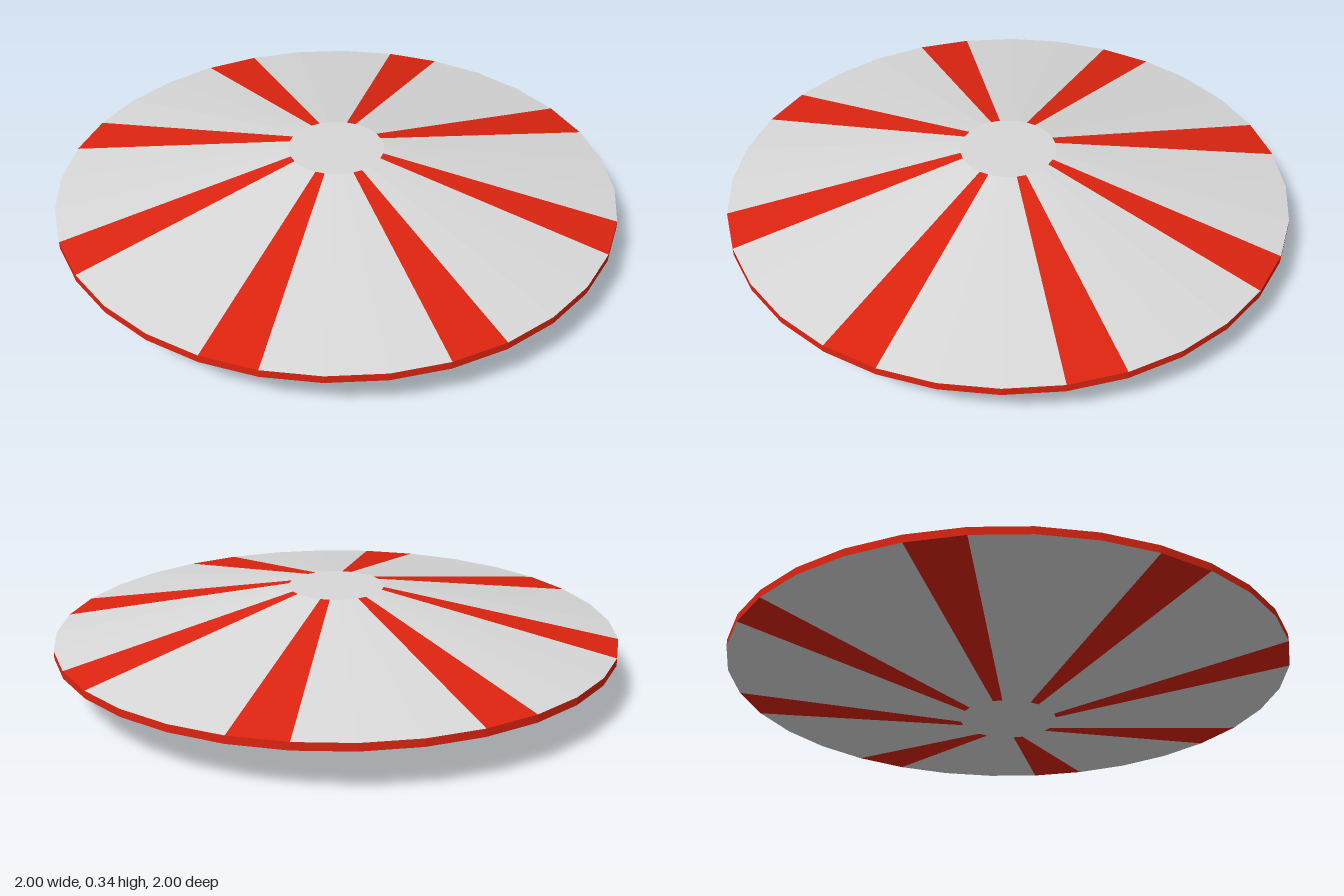
import * as THREE from 'three';

const SIDES = 32;
const STEP = (Math.PI * 2) / SIDES;
const HUB = 0.17;              // radius of the flat centre
const LOW = 0.157, HIGH = 0.184, TOP = 0.341;

// Faceted ring section between two profile points, listed from low to high
function section(profile, start, count) {
  const points = profile.map(([r, y]) => new THREE.Vector2(r, y));
  const phi = Math.PI / 2 - (start + count) * STEP;
  const geometry = new THREE.LatheGeometry(points, count, phi, count * STEP).toNonIndexed();
  geometry.computeVertexNormals();
  return geometry;
}

export function createModel() {
  const group = new THREE.Group();
  const grey = new THREE.MeshStandardMaterial({ color: 0xd8d8d8 });
  grey.name = 'light grey';
  const red = new THREE.MeshStandardMaterial({ color: 0xdd2410 });
  red.name = 'red';

  function add(name, geometry, material) {
    const mesh = new THREE.Mesh(geometry, material);
    mesh.name = name;
    group.add(mesh);
    return mesh;
  }

  // Sloping faces: one red stripe, then three grey facets, eight times around
  const slopes = {
    upper: [[1, HIGH], [HUB, TOP]],
    lower: [[HUB, 0], [1, LOW]],
  };
  for (const [side, profile] of Object.entries(slopes)) {
    for (let i = 0; i < SIDES; i += 4) {
      add(side + 'Stripe', section(profile, i, 1), red);
      add(side + 'Panel', section(profile, i + 1, 3), grey);
    }
  }

  // Narrow red band around the edge
  add('rim', section([[1, LOW], [1, HIGH]], 0, SIDES), red);

  // Flat centres
  const disc = new THREE.CircleGeometry(HUB, SIDES);
  const upperHub = add('upperHub', disc, grey);
  upperHub.rotation.x = -Math.PI / 2;
  upperHub.position.y = TOP;
  add('lowerHub', disc, grey).rotation.x = Math.PI / 2;

  return group;
}
